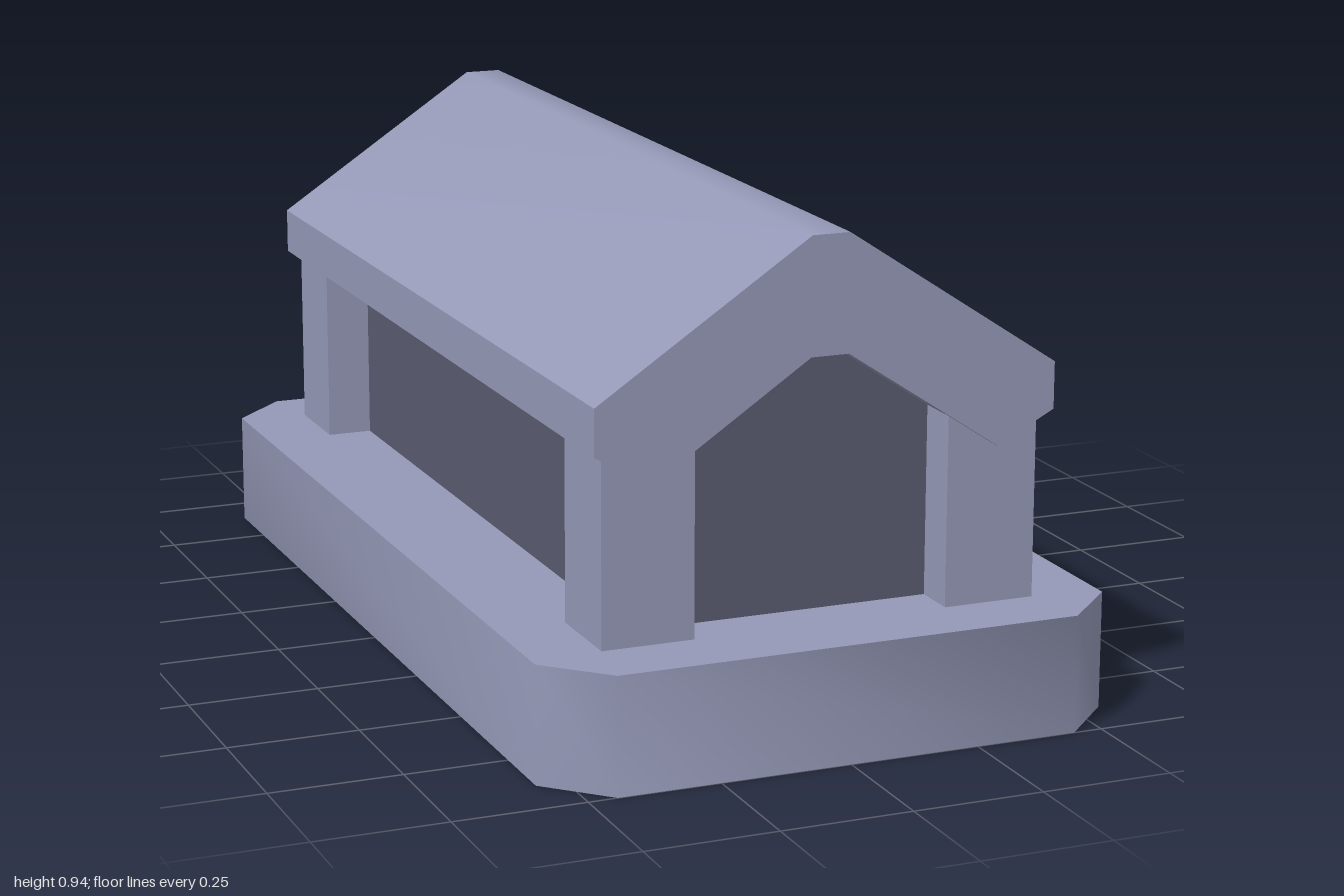
import * as THREE from 'three';
import { toCreasedNormals } from 'three/addons/utils/BufferGeometryUtils.js';

const bluegrey = new THREE.MeshStandardMaterial({ name: 'pale blue grey', color: 0x9599b7 });
const slate = new THREE.MeshStandardMaterial({ name: 'dark slate', color: 0x5a5c70 });

// Extrudes a right-half outline, mirrored over x = 0, centred along z
function mirroredPrism(half, depth) {
  const left = half.map(([x, y]) => [-x, y]).reverse();
  const shape = new THREE.Shape([...half, ...left].map(([x, y]) => new THREE.Vector2(x, y)));
  const geometry = new THREE.ExtrudeGeometry(shape, { depth, bevelEnabled: false });
  geometry.translate(0, 0, -depth / 2);
  return geometry;
}

function addPart(group, name, geometry, material) {
  const mesh = new THREE.Mesh(toCreasedNormals(geometry, 0.9), material);
  mesh.name = name;
  group.add(mesh);
  return mesh;
}

export function createModel() {
  const model = new THREE.Group();
  model.name = 'gabledShelter';

  // Plinth with cut corners
  const baseHeight = 0.222;
  const base = mirroredPrism([[0.445, -1], [0.555, -0.89], [0.555, 0.89], [0.445, 1]], baseHeight);
  base.rotateX(-Math.PI / 2).translate(0, baseHeight / 2, 0);
  addPart(model, 'base', base, bluegrey);

  // Inner chamber, rising into the gable
  const walls = mirroredPrism([[0.333, baseHeight], [0.333, 0.53], [0.036, 0.73]], 1.56);
  addPart(model, 'innerWalls', walls, slate);

  // Corner posts
  const postTop = 0.58;
  for (const x of [-1, 1]) {
    for (const z of [-1, 1]) {
      const post = new THREE.BoxGeometry(0.176, postTop - baseHeight, 0.176);
      const name = (z > 0 ? 'front' : 'back') + (x > 0 ? 'Left' : 'Right') + 'Post';
      addPart(model, name, post, bluegrey)
        .position.set(x * 0.334, (postTop + baseHeight) / 2, z * 0.778);
    }
  }

  // Thick folded roof with turned eaves and a narrow flat ridge
  const roof = mirroredPrism(
    [[0.036, 0.72], [0.333, 0.522], [0.444, 0.58], [0.444, 0.668], [0.036, 0.938]], 1.78);
  addPart(model, 'roof', roof, bluegrey);

  return model;
}
